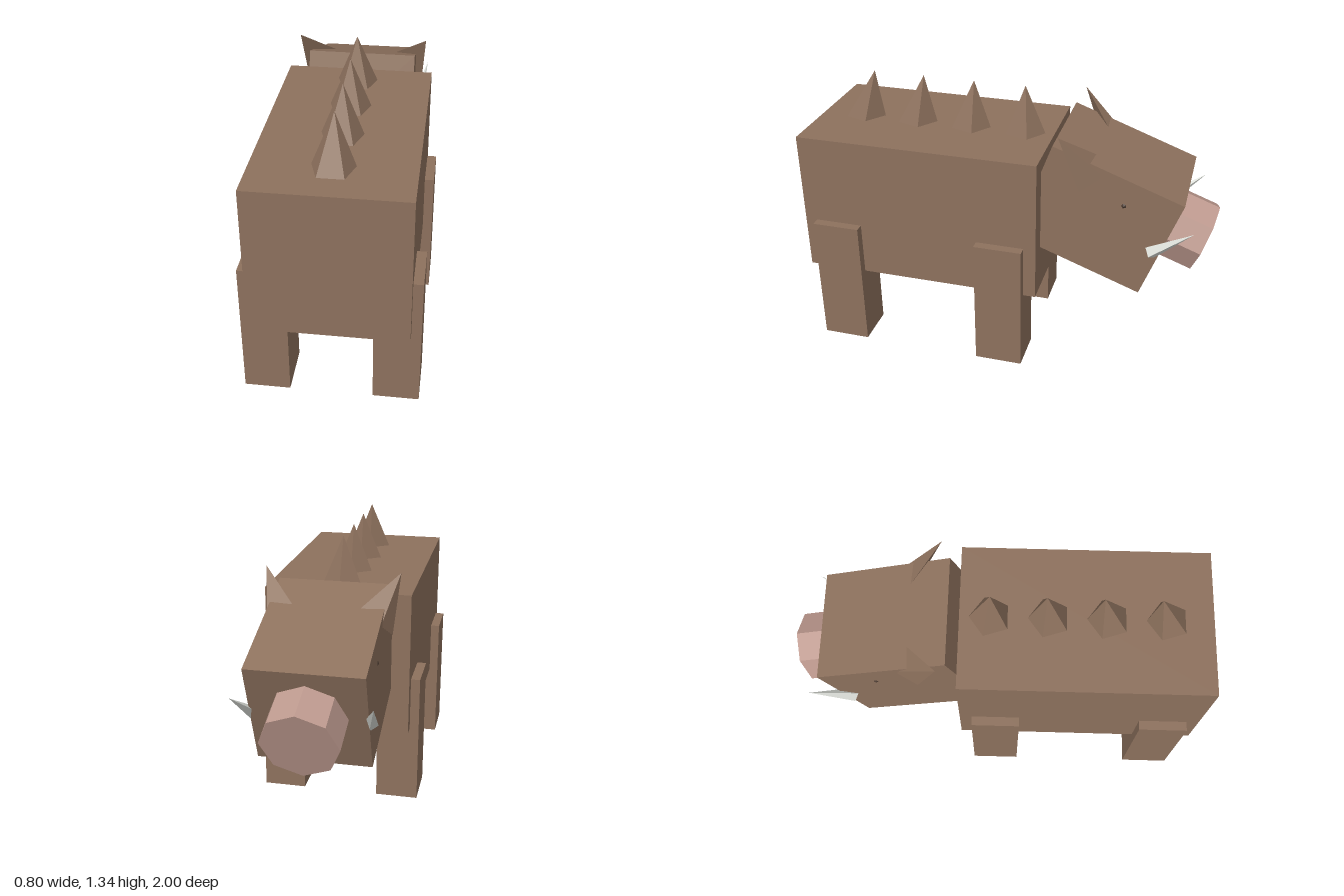
import * as THREE from 'three';

const mat = (name, color) => {
  const m = new THREE.MeshStandardMaterial({ color });
  m.name = name;
  return m;
};

// Closed low-poly solid from a tip and three base corners
function tetra(t, a, b, c) {
  const centre = [0, 1, 2].map(i => (t[i] + a[i] + b[i] + c[i]) / 4);
  const mid = new THREE.Vector3(...centre);
  const points = [];
  for (const face of [[t, a, b], [t, b, c], [t, c, a], [a, c, b]]) {
    const [p, q, r] = face.map(v => new THREE.Vector3(...v));
    const n = q.clone().sub(p).cross(r.clone().sub(p));
    // turn every face outward
    if (n.dot(p.clone().sub(mid)) > 0) points.push(p, q, r);
    else points.push(p, r, q);
  }
  const g = new THREE.BufferGeometry().setFromPoints(points);
  g.computeVertexNormals();
  return g;
}

// Flat-sided cone between two points
function spike(from, to, radius, sides) {
  const a = new THREE.Vector3(...from), d = new THREE.Vector3(...to).sub(a);
  const len = d.length();
  const g = new THREE.ConeGeometry(radius, len, sides).translate(0, len / 2, 0);
  g.applyQuaternion(new THREE.Quaternion().setFromUnitVectors(new THREE.Vector3(0, 1, 0), d.normalize()));
  return flat(g.translate(a.x, a.y, a.z));
}

function flat(g) {
  const out = g.toNonIndexed();
  out.computeVertexNormals();
  return out;
}

export function createModel() {
  const model = new THREE.Group();
  model.name = 'boar';
  const hide = mat('brown hide', 0x8d715d);
  const pink = mat('pink snout', 0xbd998e);
  const ivory = mat('pale ivory', 0xdcdfd9);
  const dark = mat('dark eye', 0x4a3a30);

  const add = (name, geometry, material, parent = model) => {
    const mesh = new THREE.Mesh(geometry, material);
    mesh.name = name;
    parent.add(mesh);
    return mesh;
  };

  // Body
  add('body', new THREE.BoxGeometry(0.71, 0.71, 1.185), hide).position.set(0, 0.745, 0.4075);

  // Legs
  for (const s of [-1, 1]) {
    for (const [label, z] of [['front', -0.0075], ['back', 0.8225]]) {
      add(`${label}${s > 0 ? 'Left' : 'Right'}Leg`, new THREE.BoxGeometry(0.21, 0.655, 0.235), hide)
        .position.set(s * 0.295, 0.3275, z);
    }
  }

  // Row of back spikes, leaning further toward the rear
  for (let i = 0; i < 4; i++) {
    const g = new THREE.ConeGeometry(0.1, 0.235, 5).rotateY(Math.PI).translate(0, 0.1175, 0);
    const p = g.attributes.position;
    for (let k = 0; k < p.count; k++) p.setZ(k, p.getZ(k) - 0.02 * i * p.getY(k) / 0.235);
    add('backSpike', flat(g), hide).position.set(0, 1.1, -0.04 + 0.275 * i);
  }

  // Head and snout, tilted nose-down
  const head = new THREE.Group();
  head.name = 'head';
  head.position.set(0, 0.805, -0.4525);
  head.rotation.x = -THREE.MathUtils.degToRad(20);
  model.add(head);
  add('skull', new THREE.BoxGeometry(0.53, 0.527, 0.655), hide, head);
  const snout = new THREE.CylinderGeometry(0.177, 0.177, 0.22, 8).rotateX(-Math.PI / 2);
  add('snout', flat(snout), pink, head).position.set(0, 0.02, -0.4);

  // Ears, tusks and eyes
  for (const s of [-1, 1]) {
    const side = s > 0 ? 'left' : 'right';
    add(`${side}Ear`, tetra(
      [s * 0.317, 1.232, -0.272], [s * 0.297, 0.965, -0.37],
      [s * 0.26, 1.04, -0.475], [s * 0.15, 1.092, -0.425]), hide);
    add(`${side}Tusk`, spike([s * 0.262, 0.675, -0.71], [s * 0.307, 0.828, -0.905], 0.034, 4), ivory);
    add(`${side}Eye`, spike([s * 0.255, 0.905, -0.575], [s * 0.272, 0.905, -0.575], 0.03, 5), dark);
  }
  return model;
}
